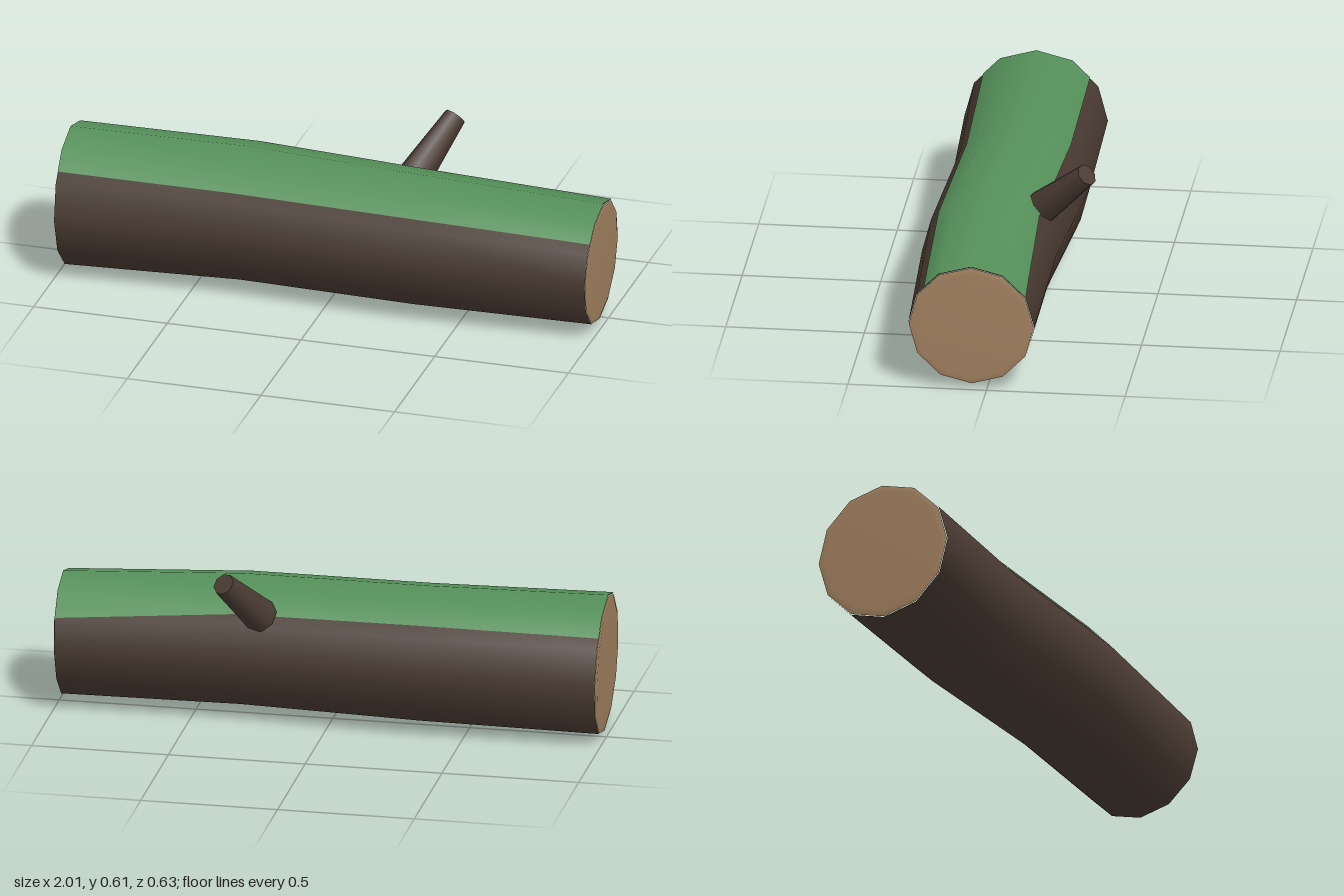
import * as THREE from 'three';

// Log cross-sections: centre, radius, tilt of the ring, and where moss ends (degrees)
const RINGS = [
  { c: [-0.988, 0.262, 0.057], r: 0.258, ty: 0.025, tz: -0.035, moss: [41, 140] },
  { c: [-0.33, 0.267, 0.035], r: 0.25, ty: 0, tz: 0, moss: [38, 138] },
  { c: [0.33, 0.263, 0.07], r: 0.242, ty: -0.01, tz: 0.01, moss: [40, 140] },
  { c: [0.99, 0.247, 0.056], r: 0.227, ty: -0.03, tz: -0.025, moss: [40, 149] },
];

// Point on the twelve-sided outline at an angle (0 = front, 90 = top)
function ringPoint(ring, deg, scale = 1, grow = 0, dx = 0) {
  const a = THREE.MathUtils.degToRad(deg);
  const step = Math.PI / 6;
  const off = a - (Math.floor(a / step + 1e-6) + 0.5) * step;
  const r = (ring.r * scale * Math.cos(step / 2)) / Math.cos(off) + grow;
  const y = r * Math.sin(a), z = r * Math.cos(a);
  return [ring.c[0] - ring.ty * y - ring.tz * z + dx, ring.c[1] + y, ring.c[2] + z];
}

// Skin a list of equally long point rows
function skin(rows, flip = false) {
  const n = rows[0].length, index = [];
  for (let i = 0; i < rows.length - 1; i++) {
    for (let j = 0; j < n - 1; j++) {
      const a = i * n + j, b = a + 1, c = a + n, d = c + 1;
      if (flip) index.push(a, b, c, b, d, c);
      else index.push(a, c, b, b, c, d);
    }
  }
  const g = new THREE.BufferGeometry();
  g.setAttribute('position', new THREE.Float32BufferAttribute(rows.flat(2), 3));
  g.setIndex(index);
  g.computeVertexNormals();
  return g;
}

// Make the first and last columns share normals on a closed skin
function weldSeam(g, n) {
  const nor = g.attributes.normal;
  for (let i = 0; i < nor.count; i += n) {
    const a = new THREE.Vector3().fromBufferAttribute(nor, i);
    const b = new THREE.Vector3().fromBufferAttribute(nor, i + n - 1);
    a.add(b).normalize();
    nor.setXYZ(i, a.x, a.y, a.z);
    nor.setXYZ(i + n - 1, a.x, a.y, a.z);
  }
  return g;
}

export function createModel() {
  const group = new THREE.Group();
  const mat = (name, color) => new THREE.MeshStandardMaterial({ name, color });
  const bark = mat('bark', 0x4a3b32);
  const moss = mat('moss', 0x55905a);
  const wood = mat('cutWood', 0xa38260);
  const add = (name, geometry, material) => {
    const mesh = new THREE.Mesh(geometry, material);
    mesh.name = name;
    group.add(mesh);
    return mesh;
  };
  const around = Array.from({ length: 13 }, (_, i) => i * 30);

  // Trunk
  add('trunk', weldSeam(skin(RINGS.map(r => around.map(a => ringPoint(r, a)))), 13), bark);

  // Moss blanket hugging the top facets
  add('mossBlanket', skin(RINGS.map(r =>
    [r.moss[0], 60, 90, 120, r.moss[1]].map(a => ringPoint(r, a, 1, 0.003)))), moss);

  // Sawn ends with a slight bevel
  for (const [name, ring, side] of [['leftCutEnd', RINGS[3], 1], ['rightCutEnd', RINGS[0], -1]]) {
    const rows = [[0.99, 0], [0.9, 0.005], [0.001, 0.005]].map(([s, d]) =>
      around.map(a => ringPoint(ring, a, s, 0, side * d)));
    add(name, weldSeam(skin(rows, side < 0), 13), wood);
  }

  // Broken branch stub
  const base = new THREE.Vector3(0.24, 0.412, -0.107);
  const tip = new THREE.Vector3(0.342, 0.588, -0.284);
  const dir = tip.clone().sub(base);
  const stub = add('branchStub', new THREE.CylinderGeometry(0.041, 0.064, dir.length(), 8), bark);
  stub.position.copy(base).add(tip).multiplyScalar(0.5);
  stub.quaternion.setFromUnitVectors(new THREE.Vector3(0, 1, 0), dir.normalize());

  return group;
}
